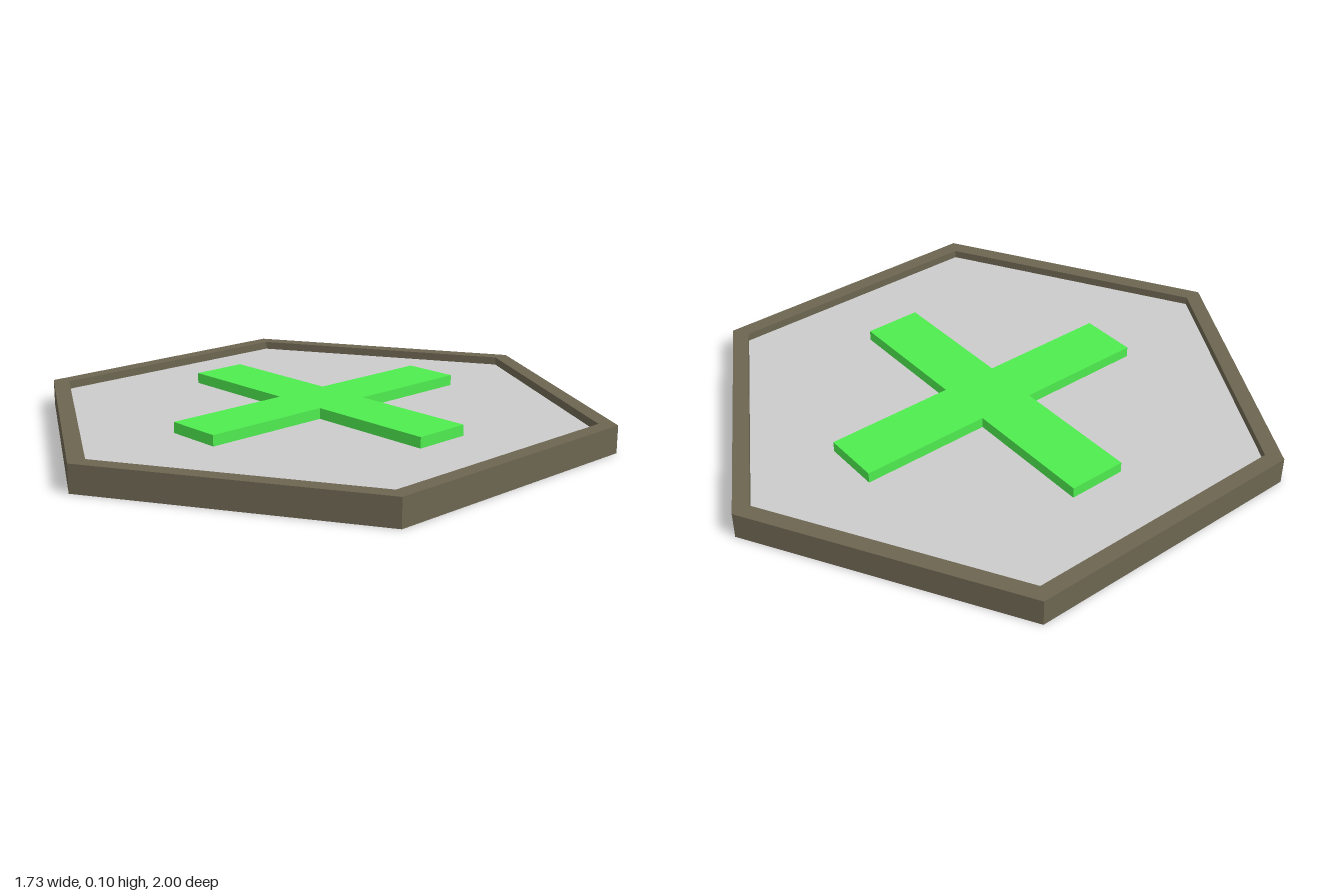
import * as THREE from 'three';

const RIM_TOP = 0.093, FLOOR = 0.065, CROSS_TOP = 0.102, INNER = 0.938;

function part(name, geometry, color) {
  const mesh = new THREE.Mesh(geometry, new THREE.MeshStandardMaterial({ color, flatShading: true }));
  mesh.name = name;
  return mesh;
}

export function createModel() {
  const model = new THREE.Group();
  model.name = 'hexTile';

  // Raised hexagonal border: outer wall, top band and inner step
  const profile = [[1, 0], [1, RIM_TOP], [INNER, RIM_TOP], [INNER, FLOOR]]
    .map(([r, y]) => new THREE.Vector2(r, y));
  model.add(part('rim', new THREE.LatheGeometry(profile, 6), 0x6c6551));

  // Grey plate: sunken floor on top, full hexagon underneath
  const plate = new THREE.CylinderGeometry(INNER, 1, FLOOR, 6);
  plate.translate(0, FLOOR / 2, 0);
  model.add(part('plate', plate, 0xcccccc));

  // Cross lying on the floor, slightly off centre
  const half = 0.1, reach = 0.553;
  const corners = [];
  for (let i = 0; i < 4; i++) {
    const turn = i * Math.PI / 2;
    for (const [x, y] of [[half, half], [half, reach], [-half, reach]]) {
      corners.push(new THREE.Vector2(x, y).rotateAround(new THREE.Vector2(), turn));
    }
  }
  const cross = new THREE.ExtrudeGeometry(new THREE.Shape(corners), {
    depth: CROSS_TOP - FLOOR, bevelEnabled: false,
  });
  cross.rotateX(-Math.PI / 2);
  cross.translate(-0.01, FLOOR, -0.023);
  model.add(part('cross', cross, 0x4fec4f));

  return model;
}
